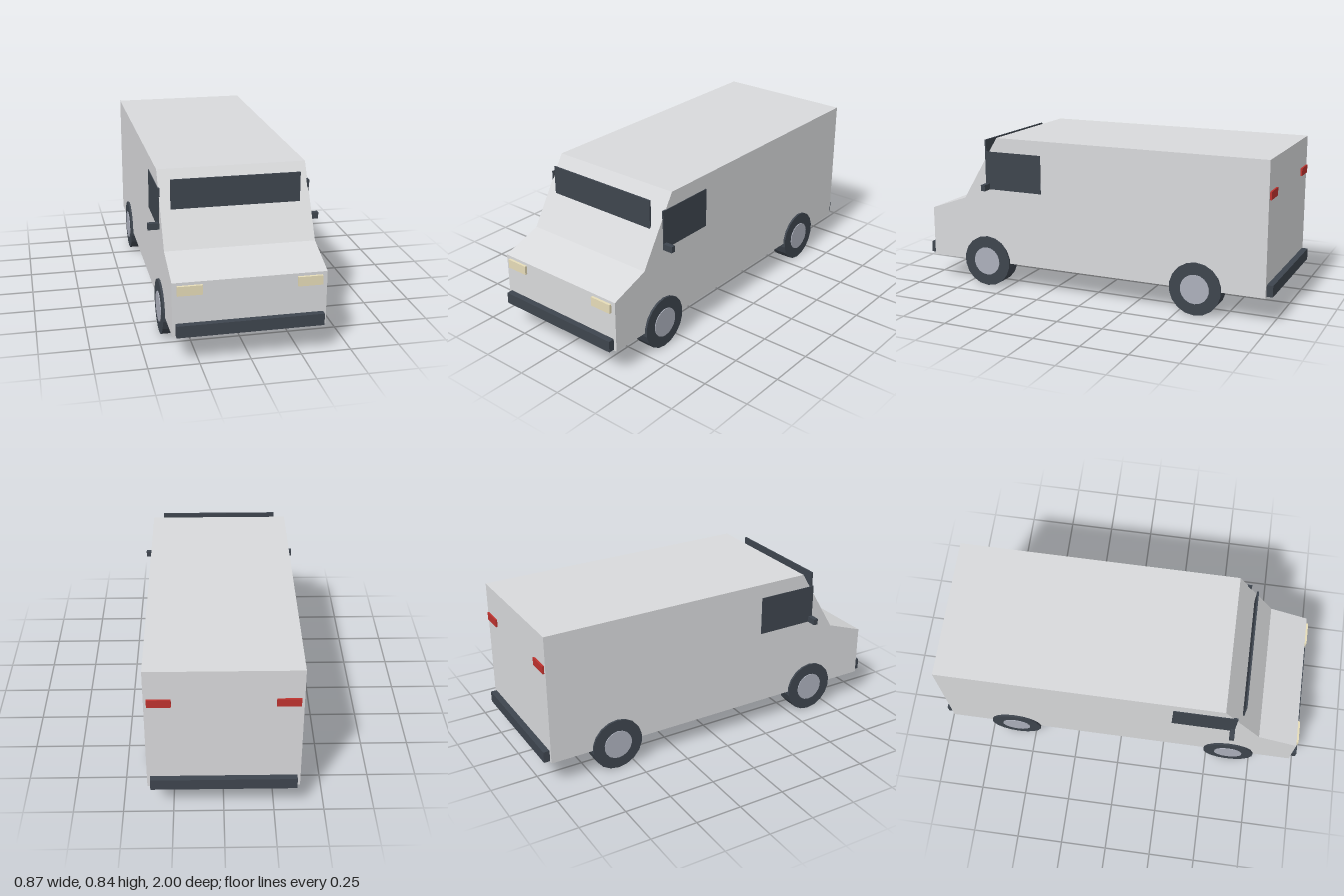
import * as THREE from 'three';

const mat = (name, color) => {
  const m = new THREE.MeshStandardMaterial({ color });
  m.name = name;
  return m;
};

export function createModel() {
  const paint = mat('body paint', 0xd8d9db);
  const dark = mat('dark trim', 0x3e454e);
  const metal = mat('hub metal', 0xacb0bc);
  const cream = mat('headlight cream', 0xe6dcb8);
  const red = mat('tail light red', 0xbe322e);

  const van = new THREE.Group();
  van.name = 'van';
  const add = (name, geometry, material, x = 0, y = 0, z = 0) => {
    const mesh = new THREE.Mesh(geometry, material);
    mesh.name = name;
    mesh.position.set(x, y, z);
    van.add(mesh);
    return mesh;
  };
  // Box given by its extents on each axis
  const box = (name, material, [x0, x1], [y0, y1], [z0, z1]) =>
    add(name, new THREE.BoxGeometry(Math.abs(x1 - x0), y1 - y0, z1 - z0), material,
      (x0 + x1) / 2, (y0 + y1) / 2, (z0 + z1) / 2);

  // Body: side profile (z, y) extruded across the width
  const profile = [[-0.967, 0.137], [0.967, 0.137], [0.967, 0.41],
    [0.755, 0.486], [0.545, 0.835], [-0.967, 0.835]];
  const shape = new THREE.Shape(profile.map(([z, y]) => new THREE.Vector2(z, y)));
  const bodyGeo = new THREE.ExtrudeGeometry(shape, { depth: 0.754, bevelEnabled: false });
  bodyGeo.translate(0, 0, -0.377).rotateY(-Math.PI / 2);
  add('body', bodyGeo, paint);

  // Upright windscreen plate and bumpers
  box('windscreen', dark, [-0.325, 0.325], [0.66, 0.81], [0.642, 0.651]);
  box('frontBumper', dark, [-0.361, 0.361], [0.143, 0.203], [0.96, 1]);
  box('rearBumper', dark, [-0.361, 0.361], [0.143, 0.203], [-1, -0.96]);

  // Wheels lie along x, with the hub passing through the tyre
  const wheelPart = (radius, width) => {
    const g = new THREE.CylinderGeometry(radius, radius, width, 18).toNonIndexed();
    g.rotateZ(Math.PI / 2).rotateX(Math.PI / 2);
    g.computeVertexNormals();
    return g;
  };
  const tyreGeo = wheelPart(0.14, 0.092);
  const hubGeo = wheelPart(0.078, 0.1);

  for (const [side, s] of [['left', 1], ['right', -1]]) {
    const span = (a, b) => [s * a, s * b];
    box(side + 'SideWindow', dark, span(0.372, 0.381), [0.549, 0.757], [0.28, 0.616]);
    box(side + 'Mirror', dark, span(0.375, 0.434), [0.548, 0.581], [0.592, 0.617]);
    box(side + 'Headlight', cream, span(0.231, 0.353), [0.347, 0.395], [0.96, 0.98]);
    box(side + 'TailLight', red, span(0.247, 0.363), [0.635, 0.677], [-0.976, -0.96]);
    for (const [end, z] of [['Front', 0.62], ['Rear', -0.6]]) {
      add(side + end + 'Tyre', tyreGeo, dark, s * 0.342, 0.139, z);
      add(side + end + 'Hub', hubGeo, metal, s * 0.342, 0.139, z);
    }
  }
  return van;
}
